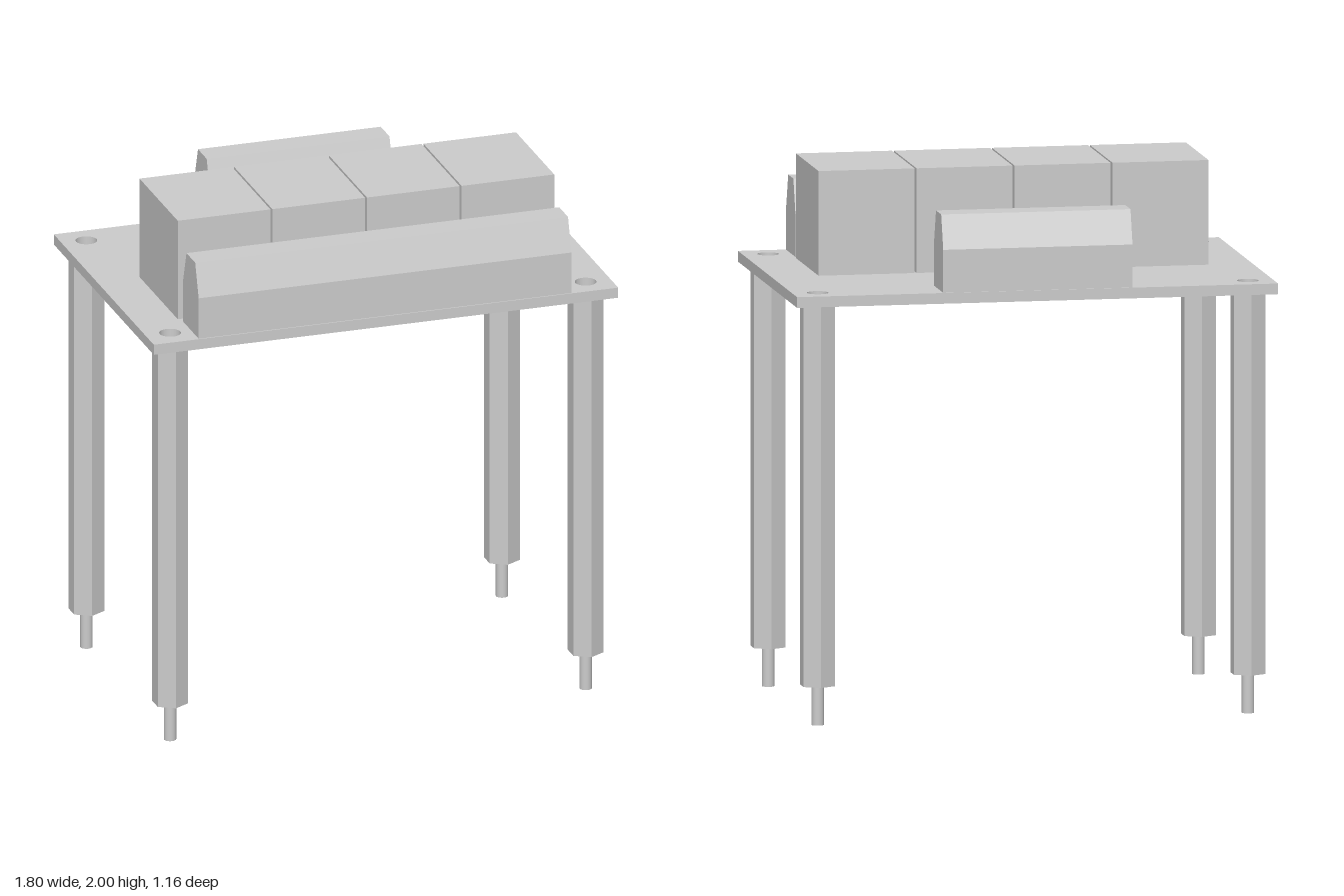
import * as THREE from 'three';

const grey = new THREE.MeshStandardMaterial({ color: 0xcccccc });
const flat = new THREE.MeshStandardMaterial({ color: 0xcccccc, flatShading: true });
const LEG_X = 0.807, LEG_Z = 0.487, BOARD_BOTTOM = 1.57, BOARD_TOP = 1.61;

function add(parent, name, geometry, material, x = 0, y = 0, z = 0) {
  const mesh = new THREE.Mesh(geometry, material);
  mesh.name = name;
  mesh.position.set(x, y, z);
  parent.add(mesh);
  return mesh;
}

// Rectangular plate with four round mounting holes
function boardGeometry() {
  const w = 0.902, d = 0.582;
  const shape = new THREE.Shape([[-w, -d], [w, -d], [w, d], [-w, d]].map(p => new THREE.Vector2(...p)));
  for (const x of [-LEG_X, LEG_X]) for (const z of [-LEG_Z, LEG_Z]) {
    shape.holes.push(new THREE.Path().absarc(x, z, 0.04, 0, Math.PI * 2, true));
  }
  return new THREE.ExtrudeGeometry(shape, { depth: BOARD_TOP - BOARD_BOTTOM, bevelEnabled: false, curveSegments: 32 })
    .rotateX(-Math.PI / 2);
}

// Block with both upper long edges chamfered, running along x
function terminalGeometry(length) {
  const points = [[-0.091, 0], [0.091, 0], [0.091, 0.16], [0.051, 0.286], [-0.051, 0.286], [-0.091, 0.16]];
  const shape = new THREE.Shape(points.map(p => new THREE.Vector2(...p)));
  return new THREE.ExtrudeGeometry(shape, { depth: length, bevelEnabled: false })
    .translate(0, 0, -length / 2).rotateY(Math.PI / 2);
}

export function createModel() {
  const model = new THREE.Group();
  model.name = 'relayBoard';

  add(model, 'board', boardGeometry(), flat, 0, BOARD_BOTTOM, 0);

  // Hexagonal standoffs with round pins below
  for (const x of [-LEG_X, LEG_X]) for (const z of [-LEG_Z, LEG_Z]) {
    const leg = new THREE.Group();
    leg.name = 'standoff';
    leg.position.set(x, 0, z);
    add(leg, 'hexColumn', new THREE.CylinderGeometry(0.068, 0.068, BOARD_BOTTOM - 0.147, 6), flat, 0, (BOARD_BOTTOM + 0.147) / 2, 0);
    add(leg, 'pin', new THREE.CylinderGeometry(0.023, 0.023, 0.147, 24), grey, 0, 0.0735, 0);
    model.add(leg);
  }

  // Row of four relay blocks
  for (let i = 0; i < 4; i++) {
    add(model, 'relay', new THREE.BoxGeometry(0.36, 2 - BOARD_TOP, 0.445), flat,
      -0.006 + (i - 1.5) * 0.3675, (2 + BOARD_TOP) / 2, 0.145);
  }

  // Terminal strips along the front and back edges
  add(model, 'frontTerminal', terminalGeometry(1.448), flat, -0.002, BOARD_TOP, 0.486);
  add(model, 'backTerminal', terminalGeometry(0.71), flat, -0.002, BOARD_TOP, -0.486);
  return model;
}
